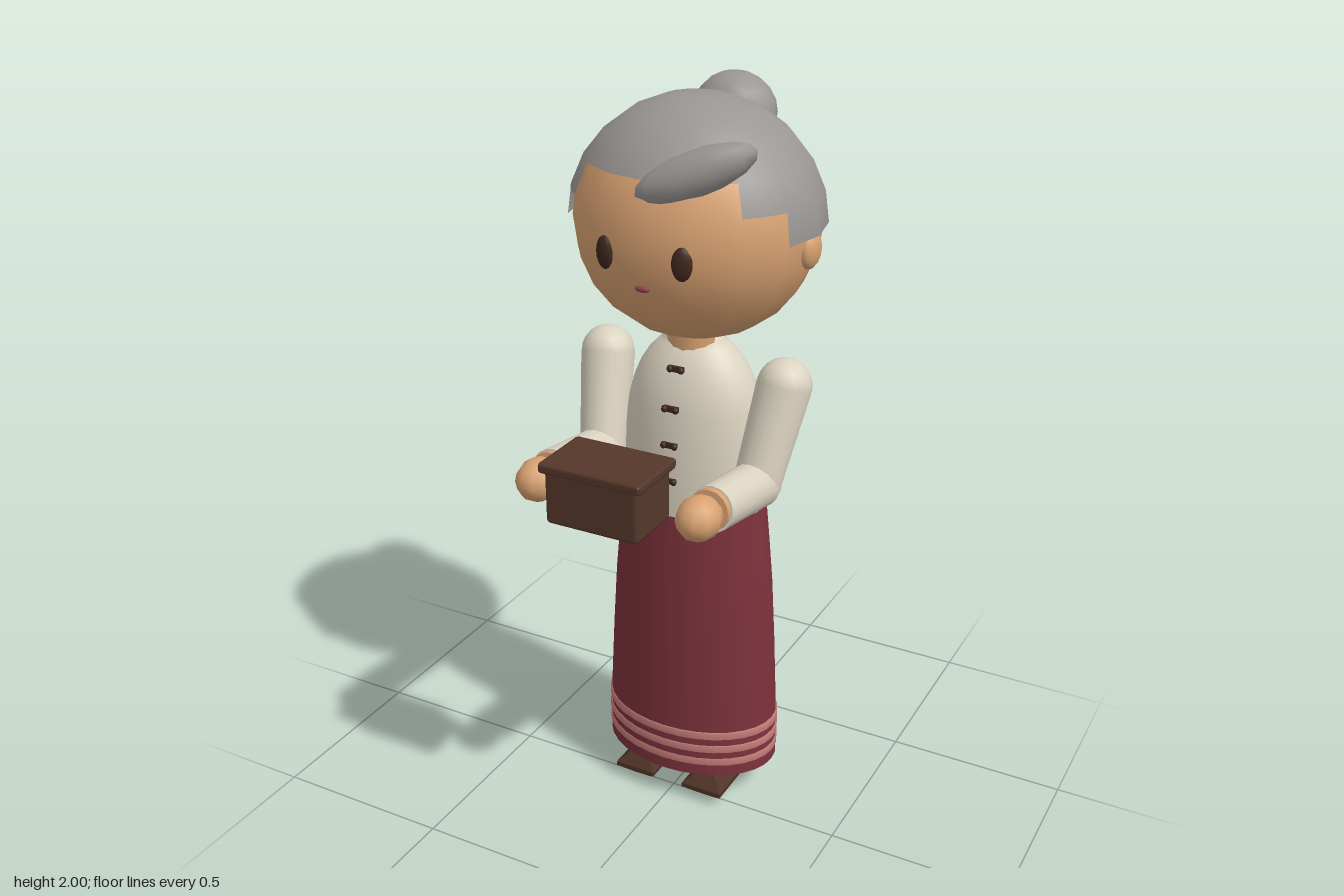
import * as THREE from 'three';
import { RoundedBoxGeometry } from 'three/addons/geometries/RoundedBoxGeometry.js';

const mat = (name, color, extra = {}) => {
  const m = new THREE.MeshStandardMaterial({ color, ...extra });
  m.name = name;
  return m;
};

export function createModel() {
  const skin = mat('skin', 0xd9a272);
  const hairGrey = mat('hairGrey', 0x9a9693, { side: THREE.DoubleSide });
  const cream = mat('creamCloth', 0xdbd3c0);
  const red = mat('redCloth', 0x7d323c, { side: THREE.DoubleSide });
  const pink = mat('pinkStripe', 0xc47c78, { side: THREE.DoubleSide });
  const wood = mat('brownWood', 0x55372a);
  const shoeBrown = mat('shoeBrown', 0x4c3024, { flatShading: true });
  const dark = mat('darkBrown', 0x3f271d);
  const lip = mat('lipRed', 0x8f3f4a);

  const model = new THREE.Group();
  model.name = 'womanWithBox';
  const Z = -0.12; // body axis

  const add = (name, geo, material, pos = [0, 0, 0], parent = model) => {
    const m = new THREE.Mesh(geo, material);
    m.name = name;
    m.position.set(...pos);
    parent.add(m);
    return m;
  };
  const ball = (name, material, pos, scale, w = 16, h = 12) => {
    const m = add(name, new THREE.SphereGeometry(1, w, h), material, pos);
    m.scale.set(...scale);
    return m;
  };
  const lathe = (name, pts, material, depth, segs = 32) => {
    const g = new THREE.LatheGeometry(pts.map(p => new THREE.Vector2(...p)), segs);
    const m = add(name, g, material, [0, 0, Z]);
    m.scale.z = depth;
    return m;
  };
  // Tapered tube from a to b
  const limb = (name, a, b, ra, rb, material) => {
    const A = new THREE.Vector3(...a), B = new THREE.Vector3(...b);
    const d = B.clone().sub(A);
    const m = add(name, new THREE.CylinderGeometry(rb, ra, d.length(), 16), material,
      A.clone().add(B).multiplyScalar(0.5).toArray());
    m.quaternion.setFromUnitVectors(new THREE.Vector3(0, 1, 0), d.normalize());
    return m;
  };

  // Head
  const HC = [0, 1.67, -0.125];
  ball('head', skin, HC, [0.32, 0.305, 0.303]);

  // Hair cap in wedges, each reaching down to its own ring: [start, segments, rings]
  const seg = Math.PI / 8, ring = Math.PI / 12;
  const wedges = [[-2, 4, 4], [2, 1, 5], [3, 3, 6], [6, 4, 7], [10, 3, 6], [13, 1, 5]];
  for (const [start, n, rings] of wedges) {
    const g = new THREE.SphereGeometry(1, n, rings, Math.PI / 2 + start * seg, n * seg, 0, rings * ring);
    add('hairCap', g, hairGrey, HC).scale.set(0.333, 0.315, 0.312);
  }
  ball('hairBun', hairGrey, [0, 1.897, -0.331], [0.112, 0.103, 0.1], 14, 10);
  const lock = ball('fringeLock', hairGrey, [0.11, 1.847, 0.1], [0.157, 0.055, 0.05], 10, 8);
  lock.rotation.set(0, 0.33, 0.4, 'YXZ');

  // Face
  for (const s of [-1, 1]) {
    ball('ear', skin, [s * 0.307, 1.633, -0.13], [0.026, 0.052, 0.047], 12, 8);
    ball('eye', dark, [s * 0.105, 1.643, 0.157], [0.026, 0.042, 0.014], 12, 10).rotation.y = s * 0.3;
  }
  ball('mouth', lip, [0, 1.567, 0.161], [0.021, 0.008, 0.008], 10, 6);

  // Neck and blouse
  add('neck', new THREE.CylinderGeometry(0.075, 0.075, 0.1, 16), skin, [0, 1.36, Z]);
  const blouse = [[0.205, 0.895], [0.203, 1.0], [0.195, 1.1], [0.185, 1.18], [0.172, 1.23],
    [0.153, 1.275], [0.127, 1.315], [0.098, 1.345], [0.08, 1.358], [0.078, 1.378], [0.06, 1.378]];
  lathe('blouse', blouse, cream, 0.73);
  for (const [y, z] of [[1.3, -0.012], [1.2, 0.018], [1.1, 0.024], [1.0, 0.029]]) {
    add('button', new THREE.BoxGeometry(0.042, 0.014, 0.012), dark, [0, y, z]);
    for (const s of [-1, 1]) ball('buttonKnot', dark, [s * 0.016, y, z + 0.004], [0.009, 0.01, 0.009], 8, 6);
  }

  // Skirt with hem stripes
  const skirt = [[0.255, 0.1], [0.252, 0.25], [0.241, 0.47], [0.23, 0.65], [0.218, 0.78], [0.206, 0.9]];
  lathe('skirt', skirt, red, 0.715);
  lathe('skirtWaist', [[0.206, 0.9], [0.19, 0.902]], red, 0.715);
  for (const y of [0.145, 0.188, 0.232]) {
    lathe('hemStripe', [[0.2535, y - 0.012], [0.2575, y - 0.01], [0.257, y + 0.01], [0.252, y + 0.012]], pink, 0.715);
  }

  // Wooden box
  add('boxBody', new RoundedBoxGeometry(0.258, 0.145, 0.17, 1, 0.012), wood, [0, 1.098, 0.342]);
  add('boxLid', new RoundedBoxGeometry(0.284, 0.028, 0.188, 1, 0.009), wood, [0, 1.176, 0.342]);

  // Chamfered shoe block
  const sole = new THREE.Shape([[-0.024, -0.073], [0.024, -0.073], [0.024, 0.073], [-0.024, 0.073]]
    .map(p => new THREE.Vector2(...p)));
  const shoeGeo = new THREE.ExtrudeGeometry(sole,
    { depth: 0.012, bevelThickness: 0.034, bevelSize: 0.037, bevelSegments: 1 });
  shoeGeo.translate(0, 0, 0.034).rotateX(-Math.PI / 2);

  for (const s of [-1, 1]) {
    // Leg and shoe
    limb('leg', [s * 0.105, 0.05, -0.125], [s * 0.105, 0.5, -0.125], 0.058, 0.062, skin);
    add('shoe', shoeGeo, shoeBrown, [s * 0.108, 0, -0.07]);

    // Sleeve: shoulder, upper arm, elbow, forearm
    const shoulder = [s * 0.26, 1.27, -0.112], elbow = [s * 0.23, 1.022, -0.025];
    const wrist = [s * 0.228, 1.063, 0.235];
    ball('shoulder', cream, shoulder, [0.072, 0.072, 0.072]);
    limb('upperArm', shoulder, elbow, 0.073, 0.063, cream);
    ball('elbow', cream, elbow, [0.064, 0.066, 0.064]);
    limb('forearm', elbow, wrist, 0.064, 0.06, cream);

    // Hand
    limb('wrist', [s * 0.228, 1.063, 0.22], [s * 0.228, 1.066, 0.25], 0.054, 0.054, skin);
    ball('hand', skin, [s * 0.228, 1.068, 0.298], [0.057, 0.057, 0.067], 10, 8);
  }
  return model;
}
